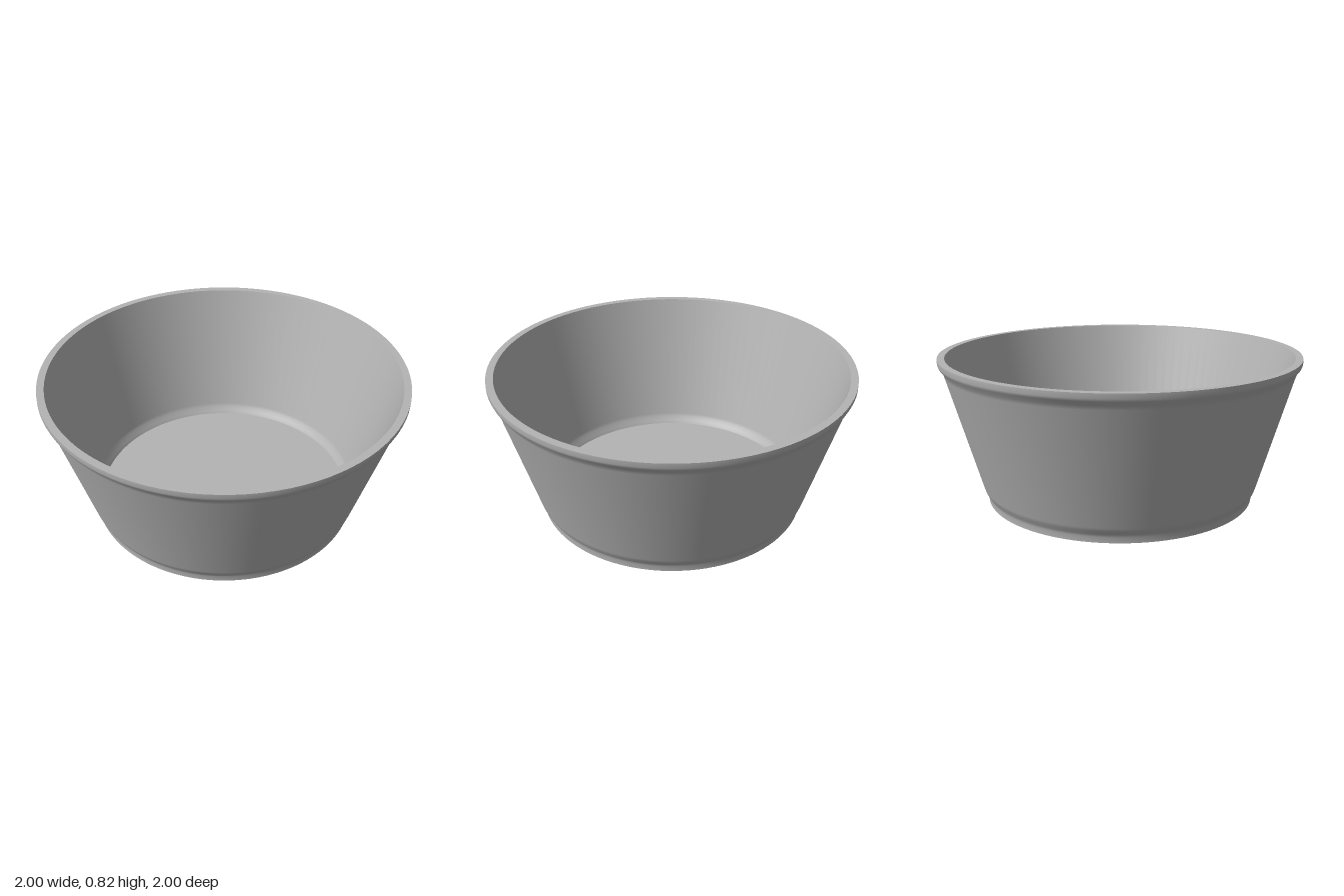
import * as THREE from 'three';

const SEGMENTS = 96;

export function createModel() {
  const grey = new THREE.MeshStandardMaterial({ color: 0xb4b4b4 });
  grey.name = 'plain grey';

  const bowl = new THREE.Group();
  bowl.name = 'bowl';

  // Each surface is its own lathe, so edges between them stay sharp
  const surface = (name, profile) => {
    const points = profile.map(([r, y]) => new THREE.Vector2(r, y));
    const mesh = new THREE.Mesh(new THREE.LatheGeometry(points, SEGMENTS), grey);
    mesh.name = name;
    bowl.add(mesh);
  };

  // Profiles run from the underside, up the outside, over the rim and down inside
  surface('underside', [[0, 0], [0.755, 0]]);
  surface('outerWall', [
    [0.755, 0], [0.755, 0.03], [0.762, 0.048], [0.776, 0.07], [0.783, 0.09],
    [0.968, 0.735], [0.976, 0.757], [0.994, 0.78], [1, 0.795], [1, 0.82],
  ]);
  surface('rim', [[1, 0.82], [0.96, 0.82]]);
  surface('innerWall', [
    [0.96, 0.82], [0.75, 0.09], [0.743, 0.07], [0.728, 0.05], [0.717, 0.03],
  ]);
  surface('floor', [[0.717, 0.03], [0, 0.03]]);

  return bowl;
}
